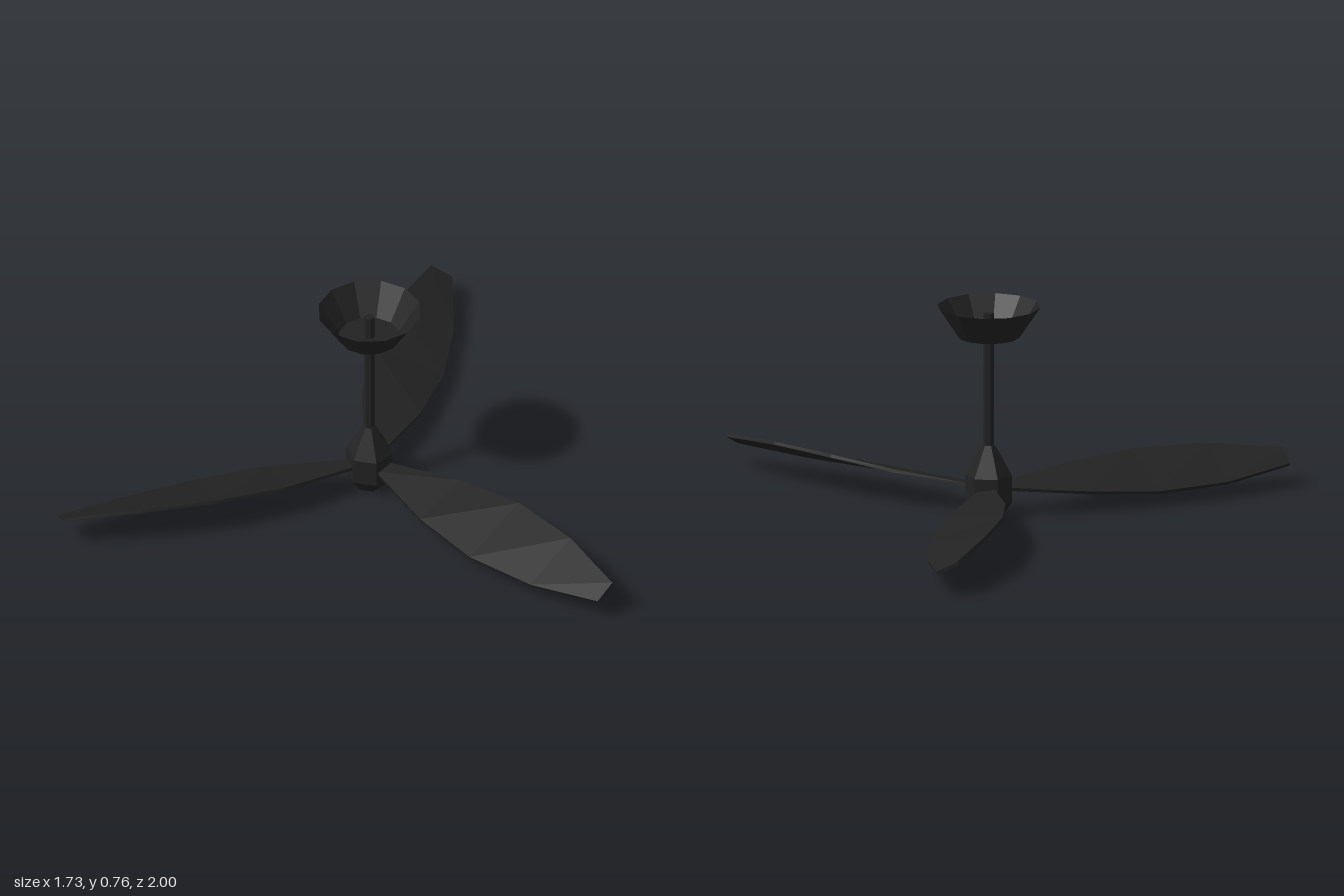
import * as THREE from 'three';

const AXIS_X = -0.267; // fan axis, offset so the three blades are centred
const BLADE_Y = 0.1;

// Blade stations: distance from axis, half chord, pitch in degrees
const STATIONS = [
  [0.06, 0.03, 9],
  [0.34, 0.108, 15],
  [0.6, 0.138, 20],
  [0.87, 0.113, 24],
  [1.132, 0.043, 28],
];
const THICKNESS = 0.012;

// Faceted surface of revolution from [radius, y] points
function turned(points, sides) {
  return new THREE.LatheGeometry(points.map(([r, y]) => new THREE.Vector2(r, y)), sides);
}

// Twisted blade along +x, lofted through rectangular sections
function bladeGeometry() {
  const positions = [];
  const index = [];
  for (const [r, half, pitch] of STATIONS) {
    const a = THREE.MathUtils.degToRad(pitch);
    const t = THICKNESS / 2;
    for (const [u, v] of [[-half, -t], [half, -t], [half, t], [-half, t]]) {
      positions.push(r, -u * Math.sin(a) + v * Math.cos(a), u * Math.cos(a) + v * Math.sin(a));
    }
  }
  for (let s = 0; s < STATIONS.length - 1; s++) {
    for (let k = 0; k < 4; k++) {
      const a = s * 4 + k;
      const b = s * 4 + (k + 1) % 4;
      index.push(a, a + 4, b + 4, a, b + 4, b);
    }
  }
  // Root and tip caps
  const e = (STATIONS.length - 1) * 4;
  index.push(0, 1, 2, 0, 2, 3, e, e + 2, e + 1, e, e + 3, e + 2);
  const g = new THREE.BufferGeometry();
  g.setAttribute('position', new THREE.Float32BufferAttribute(positions, 3));
  g.setIndex(index);
  const flat = g.toNonIndexed();
  flat.computeVertexNormals();
  return flat;
}

export function createModel() {
  const fan = new THREE.Group();
  fan.name = 'ceilingFan';

  const black = new THREE.MeshStandardMaterial({
    name: 'matte black', color: 0x222222, flatShading: true, side: THREE.DoubleSide,
  });

  function add(name, geometry) {
    const mesh = new THREE.Mesh(geometry, black);
    mesh.name = name;
    mesh.position.x = AXIS_X;
    fan.add(mesh);
    return mesh;
  }

  // Hexagonal motor hub tapering up into the rod
  add('motorHub', turned([[0, 0], [0.048, 0], [0.083, 0.05], [0.083, 0.147], [0.022, 0.257], [0, 0.257]], 6));

  // Down rod, its top standing inside the canopy
  add('downRod', turned([[0.018, 0.2], [0.018, 0.735], [0, 0.735]], 6));

  // Open cup against the ceiling
  add('canopy', turned([[0, 0.65], [0.11, 0.65], [0.183, 0.76]], 12));

  // Three blades
  const blade = bladeGeometry();
  for (let i = 0; i < 3; i++) {
    const mesh = add(`blade${i + 1}`, blade);
    mesh.position.y = BLADE_Y;
    mesh.rotation.y = (i * Math.PI * 2) / 3;
  }
  return fan;
}
